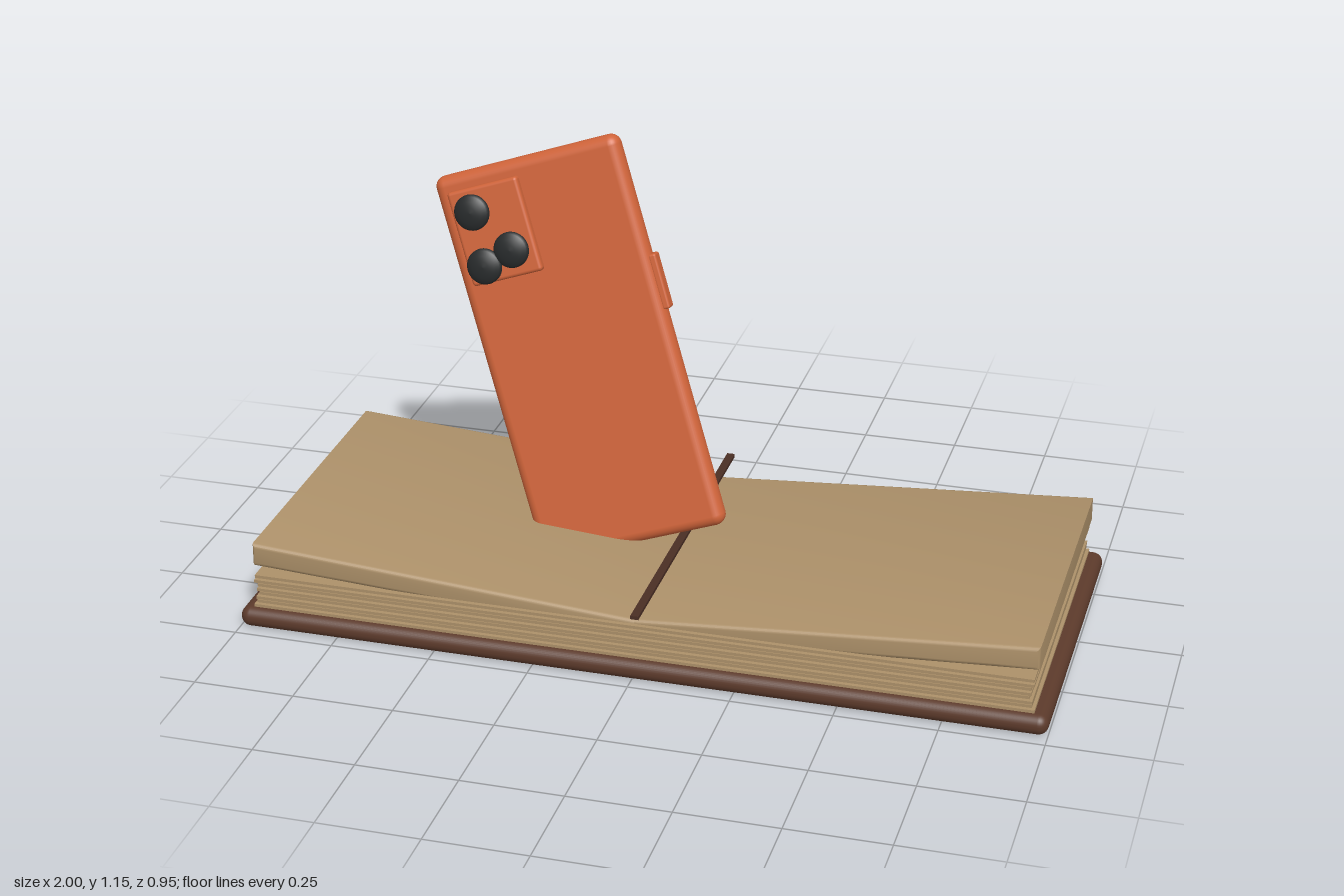
import * as THREE from 'three';
import { RoundedBoxGeometry } from 'three/addons/geometries/RoundedBoxGeometry.js';
import { toCreasedNormals } from 'three/addons/utils/BufferGeometryUtils.js';

const material = (name, color) => {
  const m = new THREE.MeshStandardMaterial({ color });
  m.name = name;
  return m;
};

export function createModel() {
  const paper = material('paper', 0xac9069);
  const gap = material('paperShadow', 0x75624a);
  const leather = material('leather', 0x5c3a2b);
  const ribbonBrown = material('ribbonBrown', 0x4a2e24);
  const orange = material('orangeShell', 0xd0643a);
  const teal = material('darkTealGlass', 0x2e483f);
  const black = material('lensBlack', 0x272a2b);

  const model = new THREE.Group();
  model.name = 'phoneOnBook';

  const add = (parent, name, geometry, mat, x = 0, y = 0, z = 0) => {
    const mesh = new THREE.Mesh(geometry, mat);
    mesh.name = name;
    mesh.position.set(x, y, z);
    parent.add(mesh);
    return mesh;
  };
  const rounded = (w, h, d, r, n = 4) => new RoundedBoxGeometry(w, h, d, n, r);

  // Open book
  const book = new THREE.Group();
  book.name = 'openBook';
  model.add(book);
  const midZ = 0.04;
  add(book, 'cover', rounded(2, 0.052, 0.87, 0.025), leather, 0, 0.026, midZ);

  // Thin loose sheets around a recessed core
  add(book, 'pageCore', new THREE.BoxGeometry(1.88, 0.088, 0.8), gap, 0, 0.094, midZ);
  const sheets = 8;
  for (let i = 0; i < sheets; i++) {
    const inset = 0.022 * (1 - Math.abs(i - 3.5) / 3.5) + (i % 2) * 0.008;
    add(book, 'sheet', new THREE.BoxGeometry(1.93 - inset, 0.0075, 0.83 - (i % 2) * 0.008),
      paper, 0, 0.057 + i * 0.0112, midZ);
  }

  // Two sloping page blocks that meet at the spine
  const b = 0.01;
  for (const s of [1, -1]) {
    const shape = new THREE.Shape();
    shape.moveTo(0, 0.115);
    shape.lineTo(0, 0.148 - b);
    shape.lineTo(s * (0.97 - b), 0.216 - b);
    shape.lineTo(s * (0.97 - b), 0.157 + b);
    shape.quadraticCurveTo(s * 0.5, 0.13 + b, 0, 0.115);
    const block = new THREE.ExtrudeGeometry(shape, {
      depth: 0.8 - 2 * b, bevelThickness: b, bevelSize: b, bevelSegments: 3, curveSegments: 10,
    });
    block.translate(0, 0, midZ - 0.4 + b);
    add(book, s > 0 ? 'leftPageBlock' : 'rightPageBlock', toCreasedNormals(block, 0.6), paper);
  }
  add(book, 'ribbon', new THREE.BoxGeometry(0.02, 0.009, 0.912), ribbonBrown, 0, 0.153, -0.019);

  // Phone: leaning sideways, then tipped back
  const phone = new THREE.Group();
  phone.name = 'phone';
  phone.position.set(-0.272, 0.609, -0.044);
  phone.rotation.set(-0.185, 0, 0.331);
  model.add(phone);

  add(phone, 'shell', rounded(0.49, 1.0, 0.058, 0.027), orange);
  add(phone, 'screen', rounded(0.456, 0.93, 0.014, 0.006, 2), teal, 0, 0, -0.029);
  add(phone, 'speakerSlot', rounded(0.12, 0.014, 0.008, 0.0035, 2), black, 0, 0.425, -0.037);
  add(phone, 'sideButton', rounded(0.02, 0.14, 0.036, 0.006, 2), orange, 0.247, 0.123, 0);
  add(phone, 'cameraPlate', rounded(0.187, 0.24, 0.03, 0.009, 3), orange, -0.116, 0.34, 0.034);

  // Domed lenses
  const profile = [[0.045, 0], [0.045, 0.008], [0.04, 0.014], [0.028, 0.019], [0.014, 0.022], [0, 0.023]]
    .map(([r, y]) => new THREE.Vector2(r, y));
  const lens = new THREE.LatheGeometry(profile, 32).rotateX(Math.PI / 2);
  for (const [x, y] of [[-0.157, 0.4], [-0.085, 0.288], [-0.164, 0.264]]) {
    add(phone, 'cameraLens', lens, black, x, y, 0.045);
  }
  return model;
}
